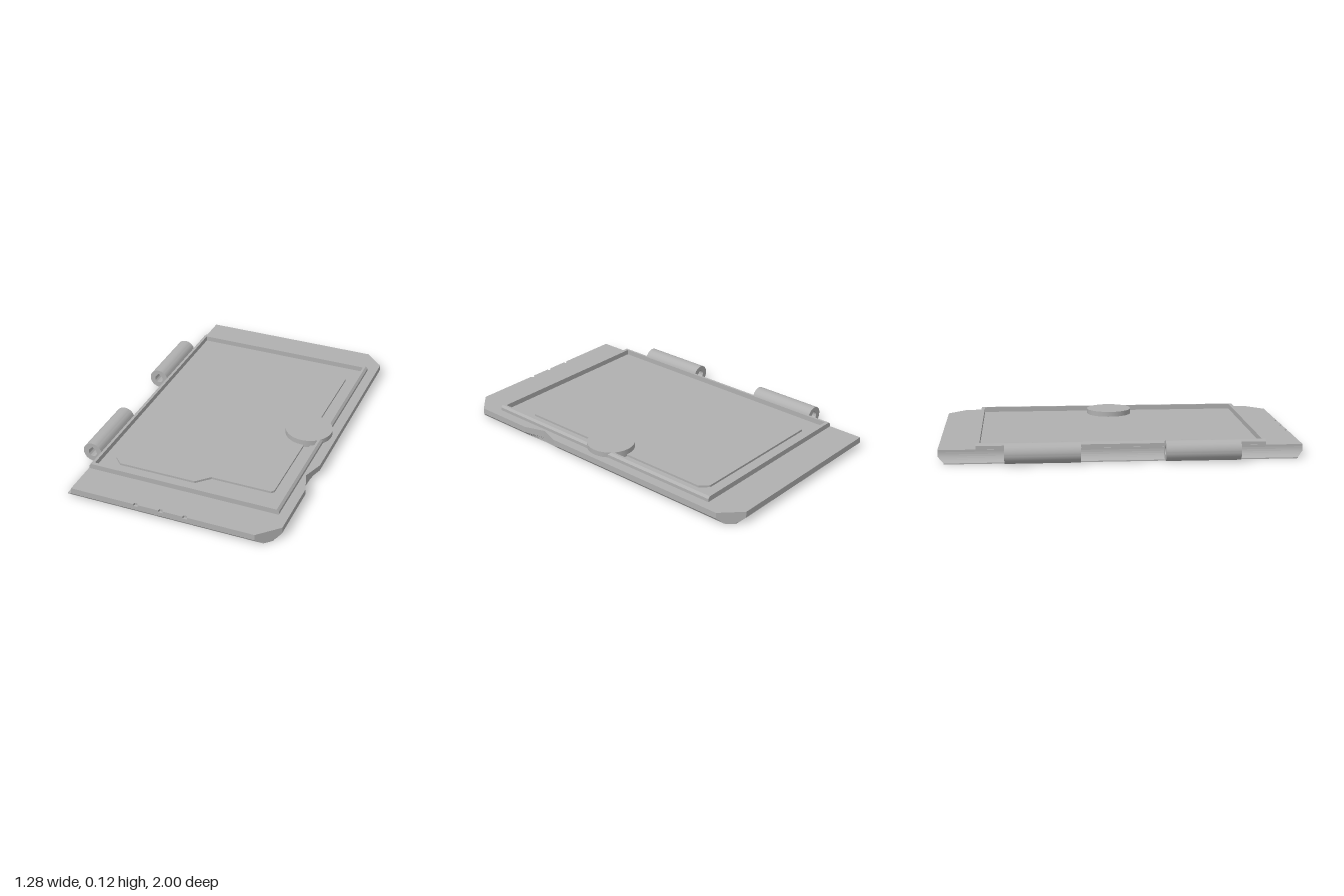
import * as THREE from 'three';
import { toCreasedNormals } from 'three/addons/utils/BufferGeometryUtils.js';

const BARREL = { x: -0.588, y: 0.06, r: 0.057 };
const SHEET = 0.006;   // depth of the engraving underneath
const FLOOR = 0.058;   // floor of the grooves on top
const TOP = 0.07;

// Plate outline (x, z) at a height: bevelled below, hollowed beside the hinges
function outline(y) {
  const i = Math.max(0, 0.035 - y);
  const left = BARREL.x + Math.sqrt(Math.max(0, 0.063 ** 2 - (y - BARREL.y) ** 2)) - 0.003;
  const right = 0.64 - i, end = 1 - i;
  return [
    [left, -end], [0.53 + i, -end], [right, -0.89 - i],
    [right, 0.29], [0.6, 0.41], [right, 0.53],
    [right, 0.89 + i], [0.53 + i, end], [left, end],
  ];
}

const toVectors = (pts) => pts.map(([x, z]) => new THREE.Vector2(x, -z));
const rect = (x0, x1, z0, z1) => [[x0, z0], [x1, z0], [x1, z1], [x0, z1]];

// Flat slab standing on y, cut from an outline with holes
function slab(pts, holes, y, height) {
  const shape = new THREE.Shape(toVectors(pts));
  holes.forEach((h) => shape.holes.push(new THREE.Path(toVectors(h))));
  const geo = new THREE.ExtrudeGeometry(shape, { depth: height, bevelEnabled: false });
  return geo.rotateX(-Math.PI / 2).translate(0, y, 0);
}

// Solid skinned over a stack of outlines, with both ends closed
function loft(levels) {
  const rings = levels.map(([y, pts]) => pts.map(([x, z]) => [x, y, z]));
  const pos = [];
  const tri = (...corners) => corners.forEach((c) => pos.push(...c));
  const n = rings[0].length, last = rings.length - 1;
  for (let i = 0; i < n; i++) {
    const j = (i + 1) % n;
    for (let k = 0; k < last; k++) {
      const [a, b, c, d] = [rings[k][i], rings[k][j], rings[k + 1][j], rings[k + 1][i]];
      tri(a, d, c);
      tri(a, c, b);
    }
    tri([0, levels[0][0], 0], rings[0][i], rings[0][j]);
    tri([0, levels[last][0], 0], rings[last][j], rings[last][i]);
  }
  const geo = new THREE.BufferGeometry();
  geo.setAttribute('position', new THREE.Float32BufferAttribute(pos, 3));
  geo.computeVertexNormals();
  return geo;
}

// Wavy engraved line running along z
function wavyLine(i, z0, z1) {
  const a = [], b = [], steps = 28;
  for (let s = 0; s <= steps; s++) {
    const z = z0 + ((z1 - z0) * s) / steps;
    const x = 0.025 + 0.071 * i - 0.011 * i * Math.exp(-(((Math.abs(z) - 0.38) / 0.14) ** 2));
    a.push([x - 0.008, z]);
    b.unshift([x + 0.008, z]);
  }
  return a.concat(b);
}

export function createModel() {
  const group = new THREE.Group();
  const grey = new THREE.MeshStandardMaterial({ color: 0xb0b0b0 });
  grey.name = 'grey';
  const add = (name, geo, parent = group) => {
    const mesh = new THREE.Mesh(geo, grey);
    mesh.name = name;
    parent.add(mesh);
    return mesh;
  };

  // Plate body
  const heights = [0.012, 0.018, 0.026, 0.035, 0.046, FLOOR];
  add('plateBody', loft([[SHEET, outline(0)], ...heights.map((y) => [y, outline(y)])]));

  // Engraved underside: wavy lines, the outer three broken in the middle, and a straight slot
  const engraving = [rect(-0.565, -0.035, -0.245, -0.225)];
  for (let i = 0; i < 8; i++) {
    if (i < 5) engraving.push(wavyLine(i, -0.74, 0.8));
    else engraving.push(wavyLine(i, -0.74, -0.13), wavyLine(i, 0.22, 0.8));
  }
  add('engravedUnderside', slab(outline(0), engraving, 0, SHEET));

  // Top skin with small nicks along the front edge and a groove around the panel
  const topOutline = outline(FLOOR);
  const nicks = [0.14, 0, -0.145].flatMap((x) => [
    [x + 0.013, 1], [x + 0.008, 0.986], [x - 0.008, 0.986], [x - 0.013, 1],
  ]);
  topOutline.splice(8, 0, ...nicks);
  const grooveOuter = [
    [-0.48, -0.66], [-0.41, -0.735], [0.465, -0.735], [0.525, -0.67], [0.525, 0.625],
    [0.49, 0.66], [0.145, 0.66], [0.075, 0.73], [-0.41, 0.73], [-0.48, 0.655],
  ];
  const grooveInner = [
    [-0.44, -0.64], [-0.39, -0.695], [0.445, -0.695], [0.49, -0.65], [0.49, 0.605],
    [0.475, 0.62], [0.13, 0.62], [0.06, 0.69], [-0.39, 0.69], [-0.44, 0.64],
  ];
  add('topSkin', slab(topOutline, [grooveOuter], FLOOR, TOP - FLOOR));
  add('innerPanel', slab(grooveInner, [rect(-0.31, 0.405, -0.248, -0.223)], FLOOR, TOP - FLOOR));

  // Raised frame: end bars, and side bars with a chamfered outer edge
  const frame = new THREE.Group();
  frame.name = 'raisedFrame';
  group.add(frame);
  for (const s of [-1, 1]) {
    const bar = new THREE.BoxGeometry(1.07, 0.03, 0.02).translate(0.03, 0.085, s * 0.785);
    add('endBar', bar, frame);
    const profile = new THREE.Shape([
      [0, 0], [0.025, 0], [0.025, 0.018], [0.013, 0.03], [0, 0.03],
    ].map(([x, y]) => new THREE.Vector2(s * x, y)));
    const rail = new THREE.ExtrudeGeometry(profile, { depth: 1.59, bevelEnabled: false });
    add('sideBar', rail.translate(s > 0 ? 0.56 : -0.5, TOP, -0.795), frame);
  }

  // Round boss by the free edge
  add('roundBoss', new THREE.CylinderGeometry(0.135, 0.135, 0.042, 64).translate(0.475, 0.079, 0));

  // Hinges: barrels with a teardrop bore, joined to the plate
  const ring = new THREE.Shape().absarc(0, 0, BARREL.r, 0, Math.PI * 2, false);
  const bore = new THREE.Path();
  bore.absarc(0, 0, 0.025, Math.PI * 0.75, Math.PI * 2.25, false);
  bore.lineTo(0, 0.036);
  bore.closePath();
  ring.holes.push(bore);
  for (const z of [-0.64, 0.23]) {
    const hinge = new THREE.Group();
    hinge.name = z < 0 ? 'backHinge' : 'frontHinge';
    group.add(hinge);
    const barrel = new THREE.ExtrudeGeometry(ring, { depth: 0.41, bevelEnabled: false, curveSegments: 24 });
    barrel.translate(BARREL.x, BARREL.y, z);
    add('barrel', toCreasedNormals(barrel, 0.5), hinge);
    add('web', new THREE.BoxGeometry(0.03, 0.064, 0.41).translate(-0.54, 0.036, z + 0.205), hinge);
  }
  return group;
}
